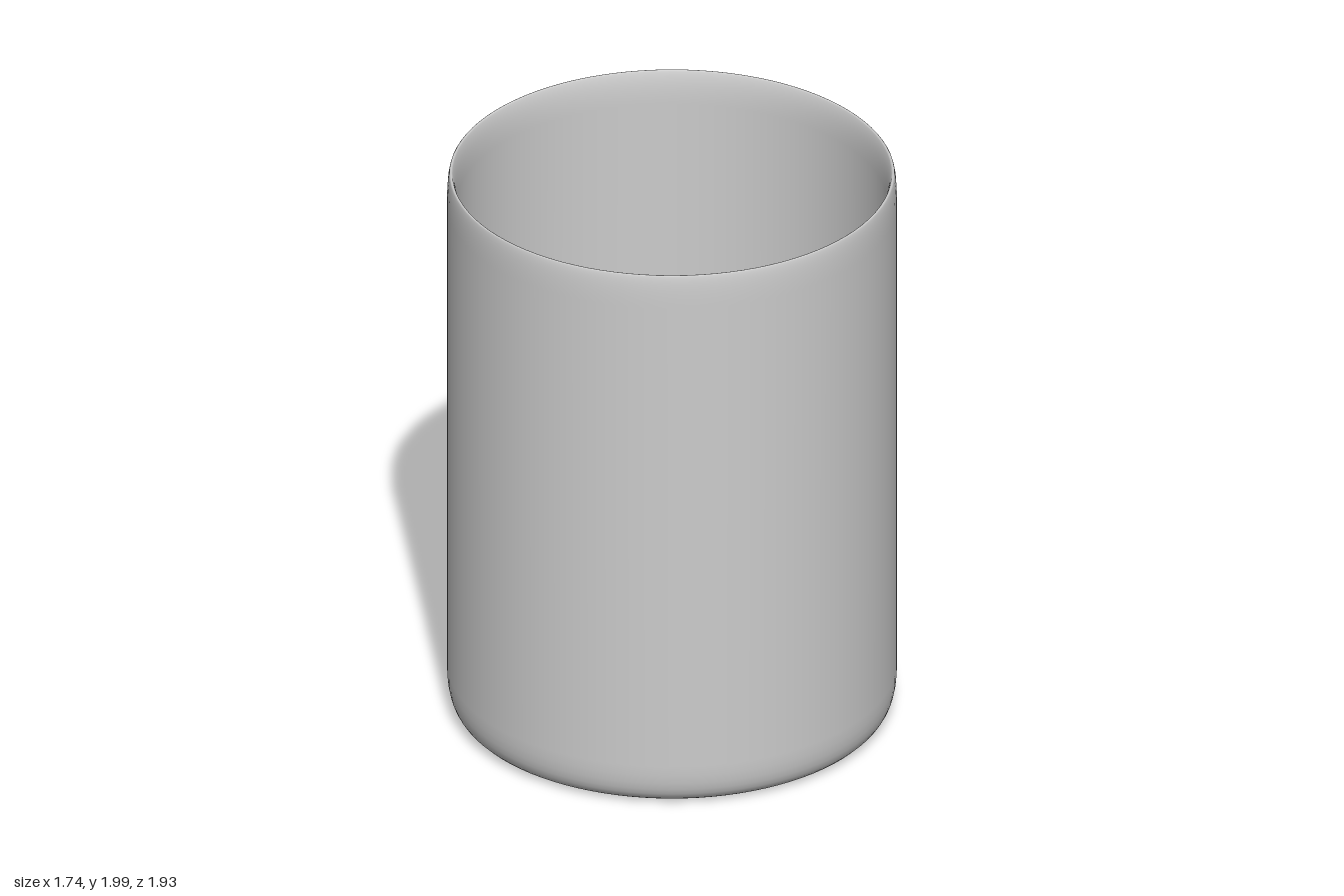
import * as THREE from 'three';
import { mergeVertices } from 'three/addons/utils/BufferGeometryUtils.js';

const material = new THREE.MeshStandardMaterial({ color: 0xcccccc });

// Closed wall profile: underside, outer wall, thin rim, inner wall, floor
function makeBody() {
  const p = new THREE.Path();
  p.moveTo(0, 0.005);
  p.lineTo(0.64, 0.005);
  p.bezierCurveTo(0.715, 0.005, 0.748, 0.03, 0.748, 0.16);
  p.lineTo(0.748, 1.88);
  p.quadraticCurveTo(0.748, 1.97, 0.74, 1.995);
  p.quadraticCurveTo(0.736, 2.003, 0.73, 1.995);
  p.quadraticCurveTo(0.716, 1.96, 0.716, 1.88);
  p.lineTo(0.716, 0.24);
  p.quadraticCurveTo(0.716, 0.06, 0.545, 0.06);
  p.lineTo(0, 0.06);
  const body = new THREE.Mesh(new THREE.LatheGeometry(p.getPoints(10), 96), material);
  body.name = 'body';
  return body;
}

// Oval tube along a planar curve (x = distance from the cup axis), flared at the wall
function makeHandle() {
  const curve = new THREE.CatmullRomCurve3([
    [0.725, 1.66], [0.82, 1.662], [0.965, 1.645], [1.195, 1.53], [1.34, 1.345],
    [1.4, 1.1], [1.362, 0.86], [1.256, 0.66], [1.107, 0.51], [0.965, 0.425],
    [0.82, 0.385], [0.725, 0.38],
  ].map(([x, y]) => new THREE.Vector3(x, y, 0)));

  const steps = 110, sides = 32;
  const tube = new THREE.TubeGeometry(curve, steps, 1, sides);
  const pos = tube.attributes.position;
  const centre = new THREE.Vector3();
  for (let i = 0; i <= steps; i++) {
    curve.getPointAt(i / steps, centre);
    const d = centre.x - 0.73;
    const thick = 0.083 + 0.05 * Math.exp(-d / 0.2);
    const wide = 0.112 + 0.042 * Math.exp(-d / 0.08);
    for (let j = 0; j <= sides; j++) {
      const k = i * (sides + 1) + j;
      pos.setXYZ(k,
        centre.x + (pos.getX(k) - centre.x) * thick,
        centre.y + (pos.getY(k) - centre.y) * thick,
        pos.getZ(k) * wide);
    }
  }
  // Weld the seam so the normals stay smooth all round
  tube.deleteAttribute('uv');
  tube.deleteAttribute('normal');
  const geometry = mergeVertices(tube, 1e-5);
  geometry.computeVertexNormals();

  const handle = new THREE.Mesh(geometry, material);
  handle.name = 'handle';
  handle.rotation.y = Math.atan2(0.774, -0.633);
  return handle;
}

export function createModel() {
  const mug = new THREE.Group();
  mug.name = 'mug';
  mug.add(makeBody(), makeHandle());
  mug.position.set(0.125, 0, 0.217);

  const model = new THREE.Group();
  model.add(mug);
  return model;
}
